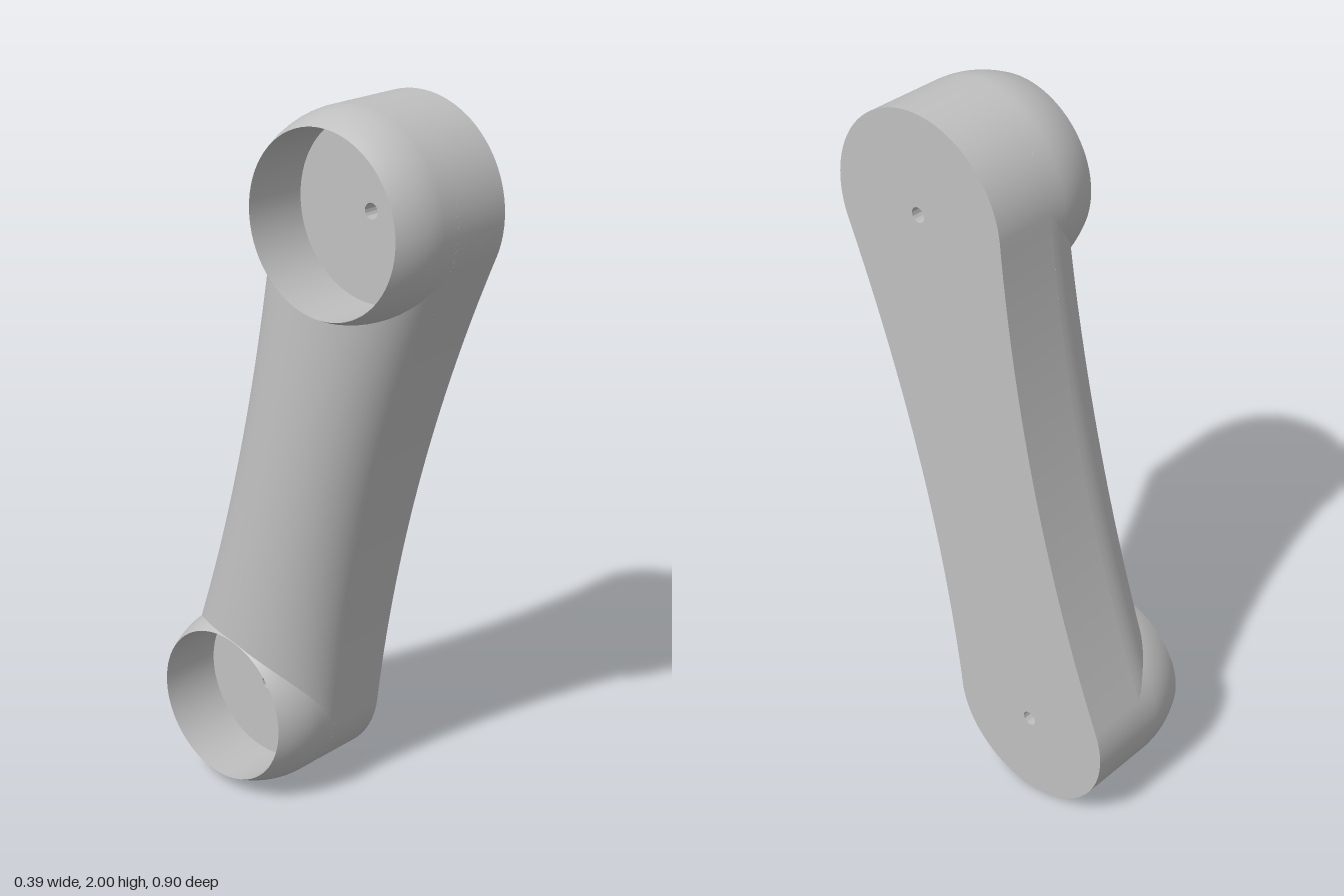
import * as THREE from 'three';
import { toCreasedNormals } from 'three/addons/utils/BufferGeometryUtils.js';

const FACE = 0.182;   // flat outer face
const DEPTH = 0.188;  // how far the cups and arm reach the other way
const H = 0.7535;     // half the distance between the two pivots
const A = 0.14;       // angle at which the waist curves meet the round ends
const ENDS = [
  { name: 'upper', s: 1, r: 0.2775, bore: 0.241 },
  { name: 'lower', s: -1, r: 0.26, bore: 0.222 },
];
const [UP, LOW] = ENDS;
const uTop = H - UP.r * Math.sin(A);
const uLow = -H + LOW.r * Math.sin(A);
const WAIST = 0.165;  // control point of the concave sides

// Half width of the arm at a distance u along it
function halfWidth(u) {
  const t = THREE.MathUtils.clamp((u - uLow) / (uTop - uLow), 0, 1);
  const k = 1 - t;
  return Math.cos(A) * (k * k * LOW.r + t * t * UP.r) + 2 * k * t * WAIST;
}

// Flat half: outline with concave sides, round ends and two pin holes
function plateGeometry() {
  const shape = new THREE.Shape();
  const mid = (uTop + uLow) / 2;
  shape.absarc(0, H, UP.r, -A, Math.PI + A, false);
  shape.quadraticCurveTo(-WAIST, mid, -LOW.r * Math.cos(A), uLow);
  shape.absarc(0, -H, LOW.r, Math.PI - A, Math.PI * 2 + A, false);
  shape.quadraticCurveTo(WAIST, mid, UP.r * Math.cos(A), uTop);
  for (const e of ENDS) {
    shape.holes.push(new THREE.Path().absarc(0, e.s * H, 0.021, 0, Math.PI * 2, true));
  }
  const geo = new THREE.ExtrudeGeometry(shape, { depth: FACE, bevelEnabled: false, curveSegments: 40 });
  return toCreasedNormals(geo, 0.6);
}

// Half-elliptic arm, trimmed at both ends where it meets the cup bores
function armGeometry() {
  const nI = 40, nJ = 36, pos = [], idx = [];
  const limit = (e, f) => {
    let d = 0;
    for (let n = 0; n < 12; n++) {
      const v = f * halfWidth(e.s * (H - d));
      d = (d + Math.sqrt(Math.max(0, (e.bore + 0.002) ** 2 - v * v))) / 2;
    }
    return e.s * (H - d);
  };
  for (let i = 0; i <= nI; i++) {
    const a = (i / nI) * Math.PI, f = Math.cos(a);
    const u0 = limit(LOW, f), u1 = limit(UP, f);
    for (let j = 0; j <= nJ; j++) {
      const u = u0 + (u1 - u0) * (j / nJ);
      pos.push(f * halfWidth(u), u, -DEPTH * Math.sin(a));
      if (i < nI && j < nJ) {
        const p = i * (nJ + 1) + j, q = p + nJ + 1;
        idx.push(p, q, p + 1, q, q + 1, p + 1);
      }
    }
  }
  const geo = new THREE.BufferGeometry();
  geo.setAttribute('position', new THREE.Float32BufferAttribute(pos, 3));
  geo.setIndex(idx);
  geo.computeVertexNormals();
  return geo;
}

export function createModel() {
  const grey = new THREE.MeshStandardMaterial({ color: 0xc0c0c0 });
  grey.name = 'light grey';

  const link = new THREE.Group();
  link.name = 'link';
  link.rotation.y = Math.PI / 2;
  const add = (name, geo) => {
    const mesh = new THREE.Mesh(geo, grey);
    mesh.name = name;
    link.add(mesh);
  };

  add('flatPlate', plateGeometry());
  add('arm', armGeometry());

  // Open cups: outer wall curving in to a thin rim, and a straight bore
  for (const e of ENDS) {
    const wall = [new THREE.Vector2(e.r, 0)];
    const start = 0.05;
    for (let i = 0; i <= 10; i++) {
      const t = i / 10;
      wall.push(new THREE.Vector2(e.r - (e.r - e.bore) * t * t, start + (DEPTH - start) * t));
    }
    const bore = [new THREE.Vector2(e.bore, DEPTH), new THREE.Vector2(e.bore, 0)];
    const lathe = (pts) => new THREE.LatheGeometry(pts, 72).rotateX(-Math.PI / 2).translate(0, e.s * H, 0);
    add(e.name + 'CupWall', lathe(wall));
    add(e.name + 'CupBore', lathe(bore));
  }

  // Lean the link forward, then tip it very slightly sideways
  const lean = new THREE.Group();
  lean.name = 'leaningLink';
  lean.rotation.x = 0.243;
  lean.position.set(0, -0.009, -0.009);
  lean.add(link);
  const tip = new THREE.Group();
  tip.name = 'tippedLink';
  tip.rotation.z = -0.0095;
  tip.position.y = 1;
  tip.add(lean);

  const model = new THREE.Group();
  model.name = 'linkArm';
  model.add(tip);
  return model;
}
